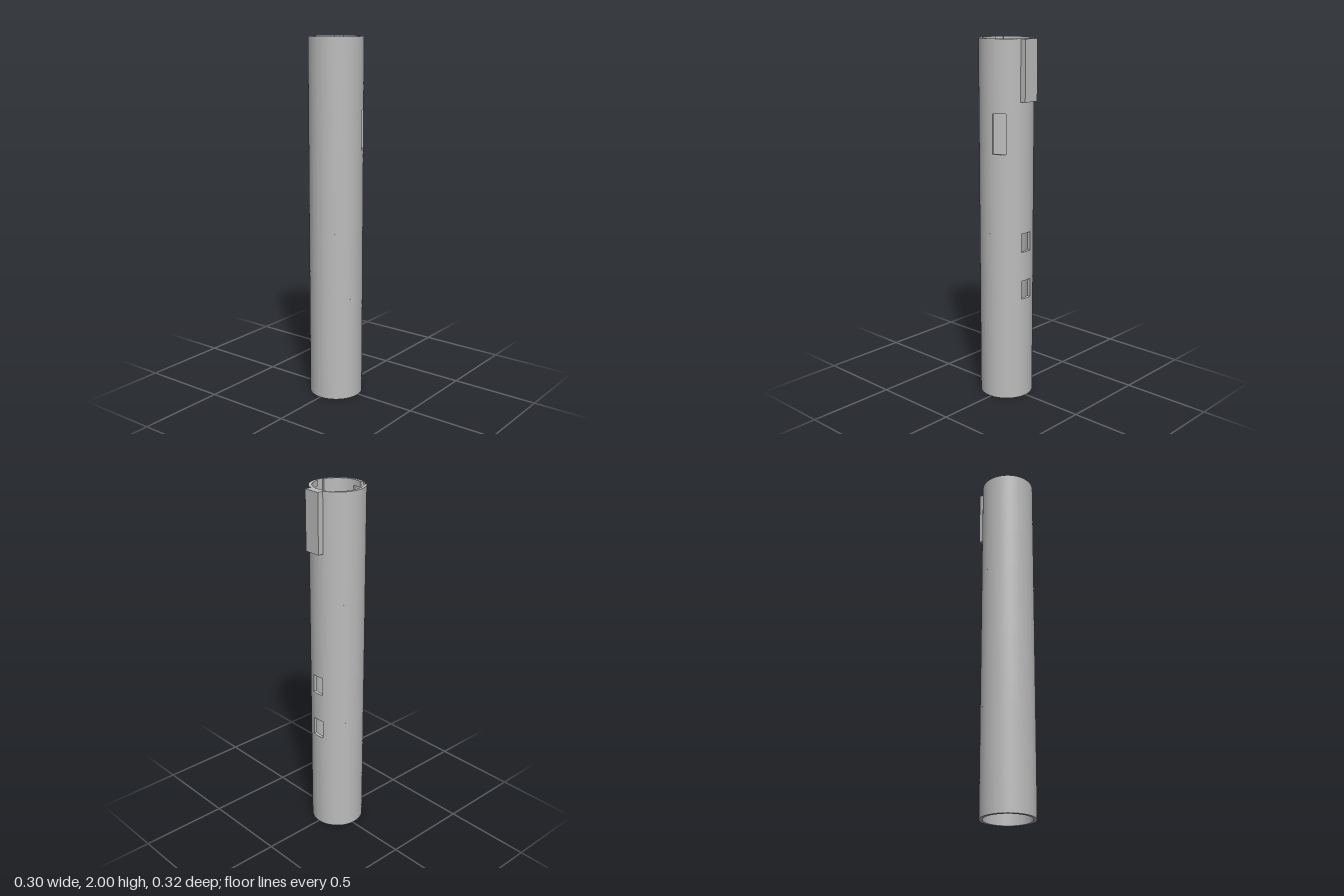
import * as THREE from 'three';
import { mergeGeometries, toCreasedNormals } from 'three/addons/utils/BufferGeometryUtils.js';

const R = 0.148, BORE = 0.13, POCKET = 0.143, CZ = 0.013;
const rad = THREE.MathUtils.degToRad;

// Points along an arc, from angle a to angle b (radians)
function arc(r, a, b) {
  const n = Math.max(2, Math.ceil(Math.abs(b - a) / rad(3)));
  return Array.from({ length: n + 1 }, (_, i) => {
    const t = a + (b - a) * i / n;
    return new THREE.Vector2(r * Math.cos(t), r * Math.sin(t));
  });
}

const circle = r => arc(r, 0, Math.PI * 2).slice(0, -1);

// Plain ring, or ring whose bore has three pockets spanning a0..a1
function ring(pocket) {
  const shape = new THREE.Shape(circle(R));
  let hole = circle(BORE);
  if (pocket) {
    const [a0, a1] = pocket.map(rad);
    hole = [];
    for (let k = 0; k < 3; k++) {
      const s = k * Math.PI * 2 / 3;
      hole.push(...arc(POCKET, s + a0, s + a1), ...arc(BORE, s + a1, s + a0 + Math.PI * 2 / 3));
    }
  }
  shape.holes.push(new THREE.Path(hole));
  return shape;
}

// Ring cut right through at one angle, with parallel cut walls
function openRing(deg, halfWidth) {
  const c = rad(deg), o = Math.asin(halfWidth / R), i = Math.asin(halfWidth / BORE);
  const turn = c + Math.PI * 2;
  return new THREE.Shape([...arc(R, c + o, turn - o), ...arc(BORE, turn - i, c + i)]);
}

export function createModel() {
  const model = new THREE.Group();
  const grey = new THREE.MeshStandardMaterial({ color: 0xbcbcbc });
  grey.name = 'grey';

  // Tube stacked from cross-sections: [shape, bottom, top]
  const plain = ring(), window = openRing(90, 0.036), slot = openRing(27.2, 0.036);
  const layers = [
    [plain, 0, 0.585],
    [window, 0.585, 0.69],
    [plain, 0.69, 0.855],
    [window, 0.855, 0.96],
    [plain, 0.96, 1.4],
    [slot, 1.4, 1.615],
    [plain, 1.615, 1.92],
    [ring([-10, 38]), 1.92, 1.967],  // sideways run of the locking grooves
    [ring([-10, 10]), 1.967, 2],     // groove entries at the rim
  ];
  const parts = layers.map(([shape, y0, y1]) => {
    const g = new THREE.ExtrudeGeometry(shape, { depth: y1 - y0, bevelEnabled: false });
    g.rotateX(-Math.PI / 2).translate(0, y0, CZ);
    return toCreasedNormals(g, rad(30));
  });
  const tube = new THREE.Mesh(mergeGeometries(parts), grey);
  tube.name = 'tube';
  model.add(tube);

  // Raised block on the back of the upper end
  const block = new THREE.Mesh(new THREE.BoxGeometry(0.095, 0.325, 0.032), grey);
  block.name = 'backBlock';
  block.position.set(0, 1.8375, -0.147);
  model.add(block);

  return model;
}
